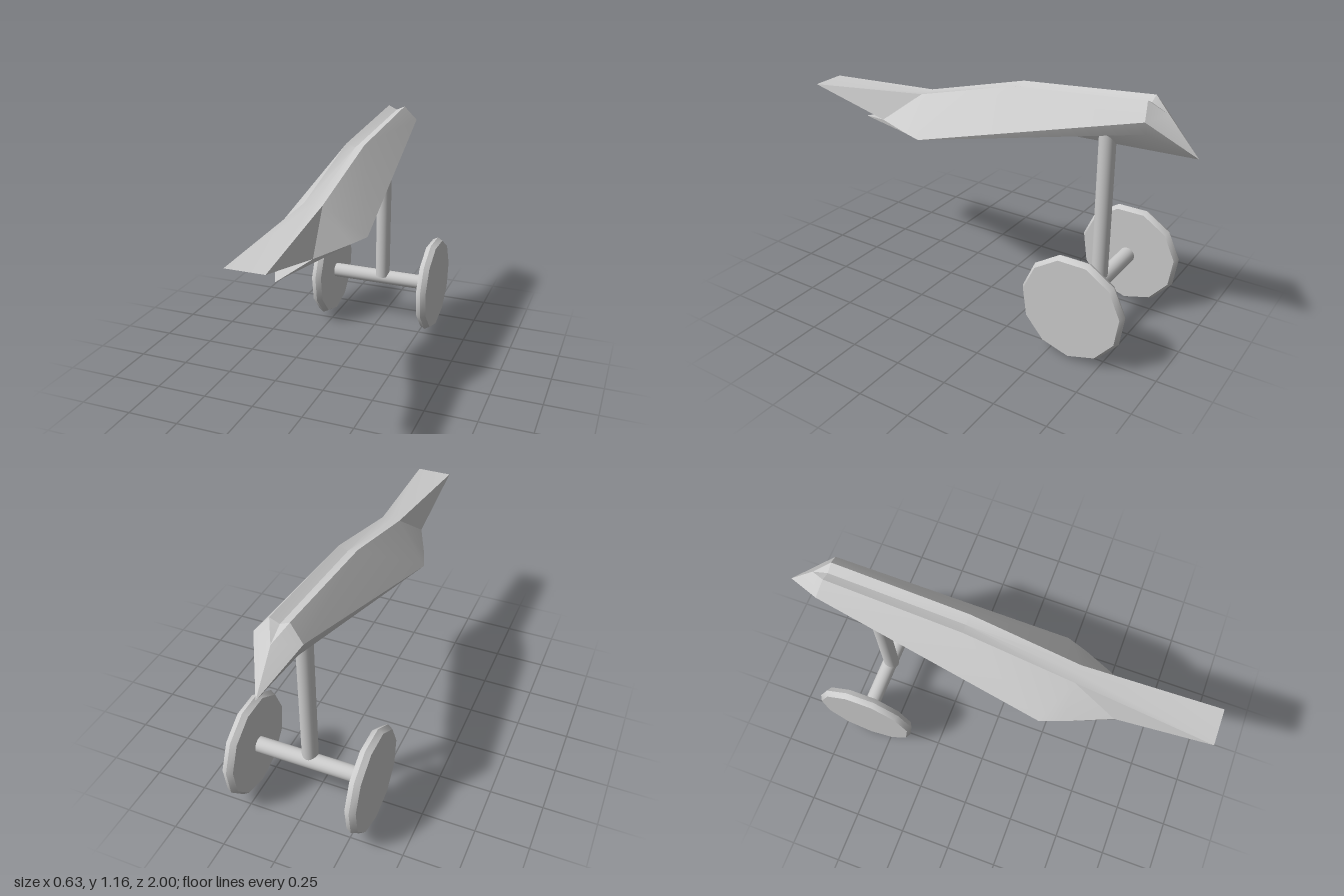
import * as THREE from 'three';
import { toCreasedNormals } from 'three/addons/utils/BufferGeometryUtils.js';

const material = new THREE.MeshStandardMaterial({ color: 0xcccccc });

function part(name, geometry, x = 0, y = 0, z = 0) {
  const mesh = new THREE.Mesh(geometry, material);
  mesh.name = name;
  mesh.position.set(x, y, z);
  return mesh;
}

// Named corners of the left half of the head (+x); the right half is mirrored.
const P = {
  crownMid: [0, 1.14, -0.78], crown: [0.043, 1.16, -0.78],
  shoulder: [0.105, 1.09, -0.8], rear: [0.08, 1.03, -0.8],
  browMid: [0, 1.09, -0.15], brow: [0.045, 1.105, -0.15],
  noseMid: [0, 0.967, 0.36], nose: [0.043, 0.97, 0.36],
  tipMid: [0, 0.915, 1], tip: [0.085, 0.915, 1],
  cheek: [0.21, 0.815, 0.26], cheekFront: [0.175, 0.815, 0.36],
  lip: [0.085, 0.812, 0.57], lipMid: [0, 0.812, 0.57],
  palate: [0.045, 0.895, 0.5], palateMid: [0, 0.895, 0.5],
  throat: [0.045, 0.865, 0.5], throatMid: [0, 0.865, 0.5],
  jawTip: [0, 0.77, 0.75], chin: [0, 0.74, 0.36],
  keel: [0, 0.89, 0.26], tail: [0, 0.94, -1], nape: [0, 1.1, -0.86],
};

const FACES = [
  // grooved top
  'crownMid browMid brow crown', 'browMid noseMid nose brow', 'noseMid tipMid tip nose',
  // flanks
  'crown brow shoulder', 'brow cheek shoulder', 'brow nose cheek',
  'nose cheekFront cheek', 'nose tip lip cheekFront', 'shoulder cheek rear',
  // pointed back
  'nape crown shoulder tail', 'shoulder rear tail', 'nape crownMid crown',
  // underside
  'tail rear keel', 'rear cheek keel', 'keel cheek chin',
  // lower jaw
  'chin cheek cheekFront', 'chin cheekFront jawTip', 'jawTip cheekFront lip', 'jawTip lip lipMid',
  // open mouth
  'lipMid lip throat throatMid', 'throatMid throat palate palateMid',
  'palateMid palate tip tipMid', 'lip tip palate throat',
];

function headGeometry() {
  const positions = [];
  for (const face of FACES) {
    const c = face.split(' ').map((n) => P[n]);
    for (let i = 1; i < c.length - 1; i++) {
      const tri = [c[0], c[i], c[i + 1]];
      for (const p of tri) positions.push(...p);
      for (const p of tri.reverse()) positions.push(-p[0], p[1], p[2]);
    }
  }
  const g = new THREE.BufferGeometry();
  g.setAttribute('position', new THREE.Float32BufferAttribute(positions, 3));
  return toCreasedNormals(g, 0.4);
}

// Eleven-sided disc with a rim that bulges slightly at the middle
function wheelGeometry() {
  const profile = [[0, -0.026], [0.236, -0.026], [0.251, 0], [0.236, 0.026], [0, 0.026]]
    .map(([r, h]) => new THREE.Vector2(r, h));
  const g = new THREE.LatheGeometry(profile, 11, -Math.PI / 2).rotateZ(Math.PI / 2);
  return toCreasedNormals(g, 0.65);
}

export function createModel() {
  const model = new THREE.Group();
  model.name = 'wheeledHead';

  model.add(part('head', headGeometry(), 0.01));
  model.add(part('post', new THREE.CylinderGeometry(0.038, 0.038, 0.72, 24), 0.01, 0.62, -0.595));

  const axle = new THREE.CylinderGeometry(0.038, 0.038, 0.56, 24).rotateZ(Math.PI / 2);
  model.add(part('axle', axle, 0, 0.248, -0.605));

  const wheel = wheelGeometry();
  for (const [name, side] of [['leftWheel', 1], ['rightWheel', -1]]) {
    model.add(part(name, wheel, side * 0.291, 0.251, -0.607));
  }
  return model;
}
